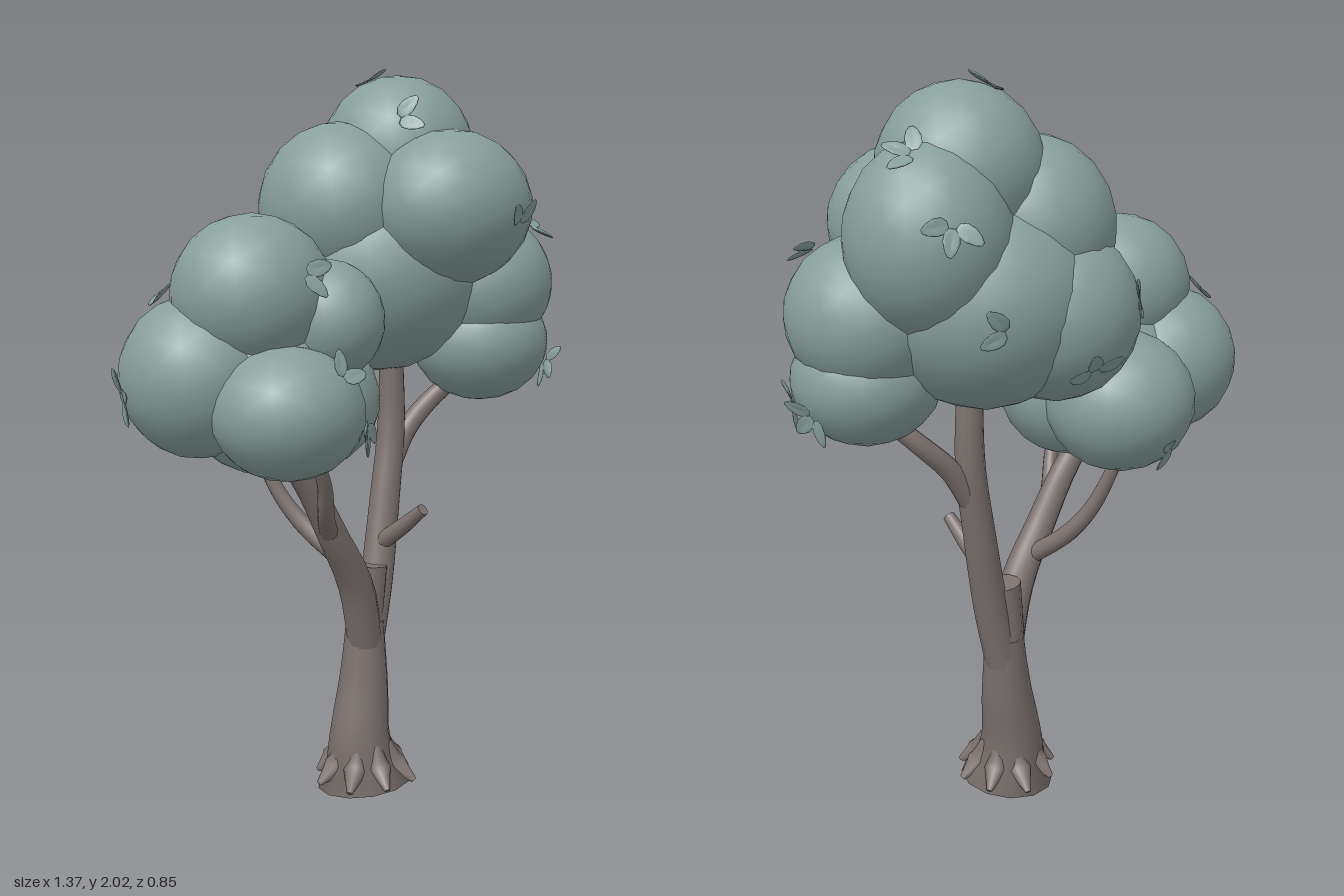
import * as THREE from 'three';

const v = (p) => new THREE.Vector3(...p);

// Round limb through points, with evenly spaced radii and flat end caps
function limb(name, points, radii, material, sides = 12) {
  const group = new THREE.Group();
  group.name = name;
  const curve = new THREE.CatmullRomCurve3(points.map(v));
  const rings = 14;
  const geo = new THREE.TubeGeometry(curve, rings, 1, sides, false);
  const pos = geo.attributes.position;
  const radiusAt = (t) => {
    const f = t * (radii.length - 1), i = Math.min(Math.floor(f), radii.length - 2);
    return THREE.MathUtils.lerp(radii[i], radii[i + 1], f - i);
  };
  const q = new THREE.Vector3();
  for (let i = 0; i < pos.count; i++) {
    const t = Math.floor(i / (sides + 1)) / rings;
    const c = curve.getPointAt(t);
    q.fromBufferAttribute(pos, i).sub(c).multiplyScalar(radiusAt(t)).add(c);
    pos.setXYZ(i, q.x, q.y, q.z);
  }
  const skin = new THREE.Mesh(geo, material);
  skin.name = name + 'Bark';
  group.add(skin);
  for (const t of [0, 1]) {
    const cap = new THREE.Mesh(new THREE.CircleGeometry(radiusAt(t), sides), material);
    cap.name = name + 'End';
    cap.position.copy(curve.getPointAt(t));
    const dir = curve.getTangentAt(t).multiplyScalar(t ? 1 : -1);
    cap.quaternion.setFromUnitVectors(new THREE.Vector3(0, 0, 1), dir);
    group.add(cap);
  }
  return group;
}

// Thin oval leaf with a pointed tip, growing along +z from its stem
function leafGeometry() {
  const geo = new THREE.SphereGeometry(1, 10, 8);
  const p = geo.attributes.position;
  for (let i = 0; i < p.count; i++) {
    const x = p.getX(i), z = p.getZ(i);
    p.setXYZ(i, x * 0.021 * (1 - 0.25 * z), p.getY(i) * 0.004 + Math.abs(x) * 0.004 + 0.004, 0.05 + z * 0.037);
  }
  geo.computeVertexNormals();
  return geo;
}

export function createModel() {
  const tree = new THREE.Group();
  tree.name = 'tree';
  const bark = new THREE.MeshStandardMaterial({ color: 0x7d7370 });
  bark.name = 'bark';
  const foliage = new THREE.MeshStandardMaterial({ color: 0x879f9c });
  foliage.name = 'foliage';

  // Trunk, boughs and twigs
  const limbs = [
    ['trunk', [[0.062, 0.018, 0.02], [0.053, 0.14, 0.01], [0.075, 0.3, 0], [0.09, 0.48, -0.01]], [0.134, 0.098, 0.084, 0.077, 0.069, 0.061, 0.055]],
    ['rightBough', [[0.09, 0.38, -0.01], [0.14, 0.58, -0.02], [0.19, 0.82, -0.04], [0.222, 1.02, -0.05], [0.22, 1.25, -0.05]], [0.05, 0.048, 0.044, 0.04, 0.034]],
    ['leftBough', [[0.085, 0.4, 0], [0.02, 0.6, 0.03], [-0.08, 0.76, 0.05], [-0.17, 0.91, 0.055], [-0.29, 1.06, 0.05]], [0.05, 0.05, 0.042, 0.036, 0.028]],
    ['cutBough', [[0.08, 0.4, -0.01], [0.09, 0.52, -0.01], [0.1, 0.64, -0.01]], [0.052, 0.054, 0.056]],
    ['outerBranch', [[0.21, 0.9, -0.045], [0.28, 1.01, -0.045], [0.36, 1.09, -0.03], [0.44, 1.17, 0.02]], [0.032, 0.03, 0.027, 0.024]],
    ['frontTwig', [[-0.1, 0.77, 0.06], [-0.16, 0.83, 0.12], [-0.21, 0.93, 0.175], [-0.27, 1.04, 0.2]], [0.026, 0.023, 0.019, 0.016]],
    ['backTwig', [[-0.03, 0.68, 0.03], [-0.08, 0.77, -0.08], [-0.12, 0.86, -0.14], [-0.17, 1.03, -0.2]], [0.027, 0.025, 0.02, 0.016]],
    ['brokenTwig', [[0.155, 0.7, -0.01], [0.165, 0.75, 0.06], [0.175, 0.81, 0.135]], [0.026, 0.023, 0.017]],
  ];
  for (const [name, pts, radii] of limbs) tree.add(limb(name, pts, radii, bark));

  // Roots flaring around the foot
  const roots = new THREE.Group();
  roots.name = 'roots';
  for (let i = 0; i < 8; i++) {
    const a = (i / 8) * Math.PI * 2 + 0.2;
    const at = (r, y) => [0.06 + r * Math.cos(a), y, 0.02 + r * Math.sin(a)];
    const reach = 0.142 + 0.008 * Math.sin(i * 2.3);
    roots.add(limb('root', [at(0.066, 0.14), at(0.09, 0.085), at(reach, 0.035)], [0.015, 0.032, 0.008], bark, 8));
  }
  tree.add(roots);

  // Foliage clumps: centre and radii
  const clumps = {
    crownTop: [[0.24, 1.78, -0.05], [0.212, 0.22, 0.22]],
    crownFront: [[0.25, 1.635, 0.15], [0.235, 0.21, 0.215]],
    crownCore: [[0.19, 1.465, -0.075], [0.295, 0.285, 0.3]],
    crownInner: [[0.065, 1.635, -0.09], [0.222, 0.235, 0.235]],
    crownOuter: [[0.37, 1.63, -0.11], [0.21, 0.245, 0.215]],
    crownSide: [[0.45, 1.425, 0.06], [0.21, 0.208, 0.22]],
    crownSideLow: [[0.455, 1.26, 0.07], [0.195, 0.17, 0.195]],
    crownBack: [[0.045, 1.425, -0.185], [0.22, 0.225, 0.215]],
    smallTop: [[-0.345, 1.415, 0.055], [0.21, 0.205, 0.205]],
    smallFront: [[-0.35, 1.13, 0.205], [0.195, 0.168, 0.192]],
    smallOuter: [[-0.45, 1.21, -0.03], [0.205, 0.21, 0.21]],
    smallInner: [[-0.19, 1.35, 0.165], [0.138, 0.155, 0.155]],
    smallInnerLow: [[-0.185, 1.14, 0.065], [0.19, 0.185, 0.205]],
    smallBack: [[-0.21, 1.145, -0.135], [0.205, 0.193, 0.208]],
    smallCore: [[-0.29, 1.18, 0.03], [0.23, 0.23, 0.23]],
  };
  const ball = new THREE.IcosahedronGeometry(1, 3);
  for (const [name, [c, r]] of Object.entries(clumps)) {
    const m = new THREE.Mesh(ball, foliage);
    m.name = name;
    m.position.set(...c);
    m.scale.set(...r);
    tree.add(m);
  }

  // Leaf sprigs: clump, direction from its centre, turn, number of leaves
  const sprigs = [
    ['crownTop', [-0.7, 0.4, 0.7], 1, 2], ['crownTop', [-0.25, 1, -0.4], 2, 2], ['crownFront', [0.2, -0.25, 1], 3.5, 2],
    ['crownOuter', [0.4, 0.9, -0.4], 0.6, 3], ['crownOuter', [0.3, 0.3, -1], 2.6, 3],
    ['crownSide', [0.3, 0.7, 0.5], 1.5, 2], ['crownSideLow', [0.8, -0.3, 0.5], 0, 3], ['crownSideLow', [0.9, -0.3, -0.3], 1, 3],
    ['crownBack', [-0.6, 0.2, -0.8], 2, 2], ['crownBack', [0.1, -0.6, -1], 0.3, 3], ['crownCore', [0.4, -0.1, -1], 1, 2],
    ['smallTop', [0, 0.3, 1], 1.2, 2], ['smallFront', [0.15, 0.5, 0.8], 2.4, 2], ['smallFront', [0.6, -0.1, 0.8], 0.4, 3],
    ['smallOuter', [-0.5, 0.9, -0.4], 1.4, 2], ['smallOuter', [-1, -0.2, -0.2], 0, 3], ['smallBack', [-0.2, -0.5, -1], 2, 2],
  ];
  const leafGeo = leafGeometry();
  for (const [clump, d, turn, count] of sprigs) {
    const [c, r] = clumps[clump].map(v);
    const dir = v(d).normalize();
    const sprig = new THREE.Group();
    sprig.name = 'leafSprig';
    sprig.position.copy(dir).multiply(r).add(c);
    sprig.quaternion.setFromUnitVectors(new THREE.Vector3(0, 1, 0), dir.clone().divide(r).normalize());
    for (let i = 0; i < count; i++) {
      const leaf = new THREE.Mesh(leafGeo, foliage);
      leaf.name = 'leaf';
      leaf.rotation.set(-0.2, turn + (i - (count - 1) / 2) * 1.1, 0, 'YXZ');
      sprig.add(leaf);
    }
    tree.add(sprig);
  }
  return tree;
}
